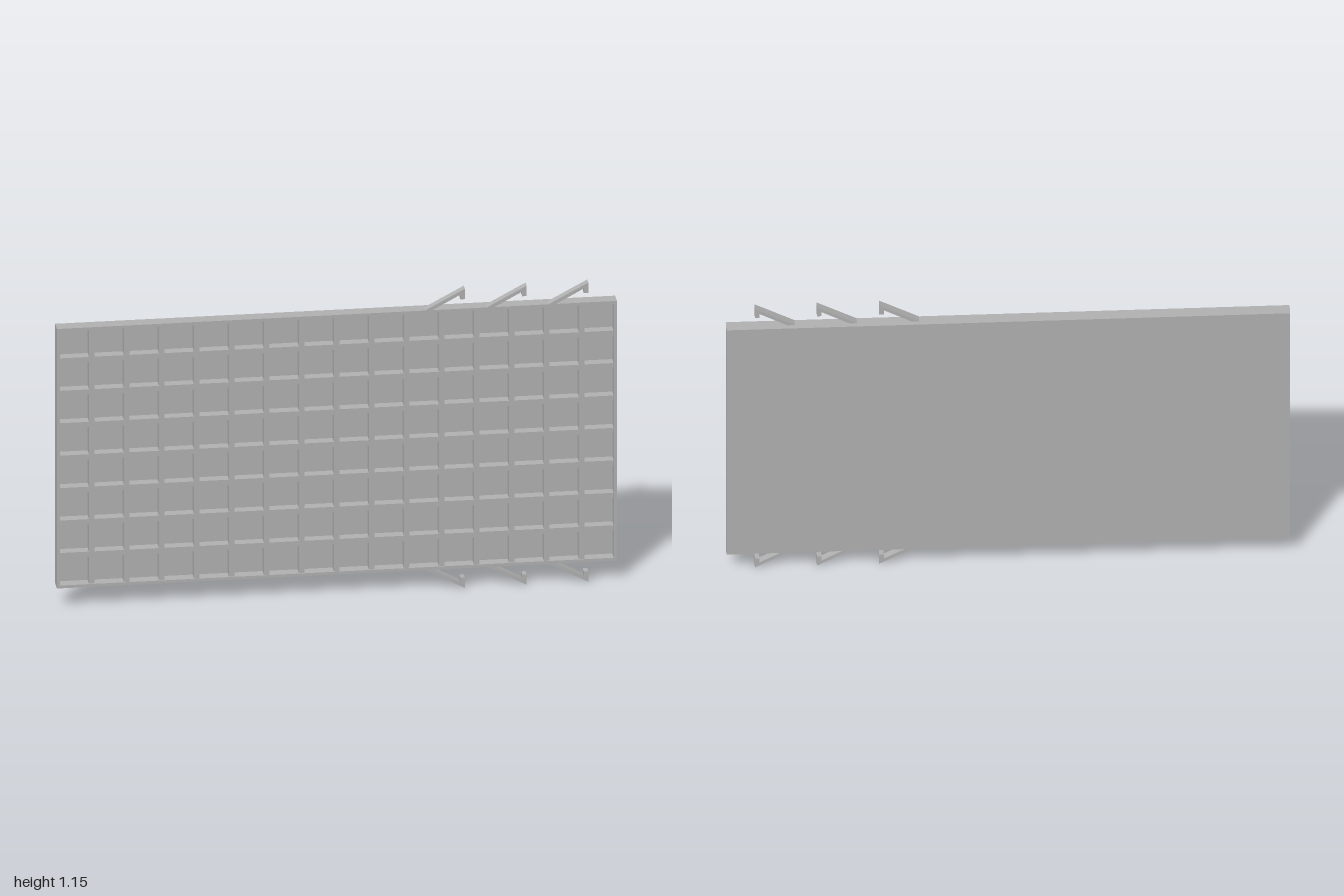
import * as THREE from 'three';

const W = 2, H = 1, Y0 = 0.076;          // panel size and lower edge
const BACK = -0.024, FRONT = 0.024;      // panel faces
const COLS = 16, ROWS = 8, RIM = 0.011, RIB = 0.02;

// Rectangle path, counter-clockwise
function rect(PathType, x0, y0, x1, y1) {
  return new PathType([[x0, y0], [x1, y0], [x1, y1], [x0, y1]].map(p => new THREE.Vector2(...p)));
}

// Flat shape pushed from z0 to z1
function slab(name, shape, z0, z1, material) {
  const geometry = new THREE.ExtrudeGeometry(shape, { depth: z1 - z0, bevelEnabled: false });
  const mesh = new THREE.Mesh(geometry, material);
  mesh.name = name;
  mesh.position.z = z0;
  return mesh;
}

export function createModel() {
  const model = new THREE.Group();
  model.name = 'wafflePanel';
  const grey = new THREE.MeshStandardMaterial({ color: 0xb2b2b2 });
  grey.name = 'grey';
  const outline = () => rect(THREE.Shape, -W / 2, Y0, W / 2, Y0 + H);

  // Solid back plate
  model.add(slab('backPlate', outline(), BACK, BACK + 0.009, grey));

  // Ribs crossing in a grid of square pockets
  const grid = outline();
  const px = W / COLS, py = H / ROWS;
  const margin = (i, n) => (i === 0 || i === n ? RIM : RIB / 2);
  for (let c = 0; c < COLS; c++) {
    for (let r = 0; r < ROWS; r++) {
      const x = -W / 2 + c * px, y = Y0 + r * py;
      grid.holes.push(rect(THREE.Path,
        x + margin(c, COLS), y + margin(r, ROWS),
        x + px - margin(c + 1, COLS), y + py - margin(r + 1, ROWS)));
    }
  }
  model.add(slab('ribGrid', grid, BACK + 0.009, FRONT - 0.003, grey));

  // Thin rim standing just proud of the ribs
  const rim = outline();
  rim.holes.push(rect(THREE.Path, -W / 2 + RIM, Y0 + RIM, W / 2 - RIM, Y0 + H - RIM));
  model.add(slab('rim', rim, FRONT - 0.003, FRONT, grey));

  // Slanted hooks along the upper and lower edges, lips turned to the panel
  const hookProfile = [[-0.142, 0], [-0.115, 0], [-0.016, 0.054], [-0.016, 0.036], [0, 0.036], [0, 0.076]];
  for (const side of [1, -1]) {
    const edge = side > 0 ? Y0 + H : Y0;
    for (const tip of [0.457, 0.678, 0.898]) {
      const shape = new THREE.Shape(hookProfile.map(([x, y]) => new THREE.Vector2(tip + x, edge + side * y)));
      model.add(slab(side > 0 ? 'upperHook' : 'lowerHook', shape, -0.005, FRONT, grey));
    }
  }
  return model;
}
